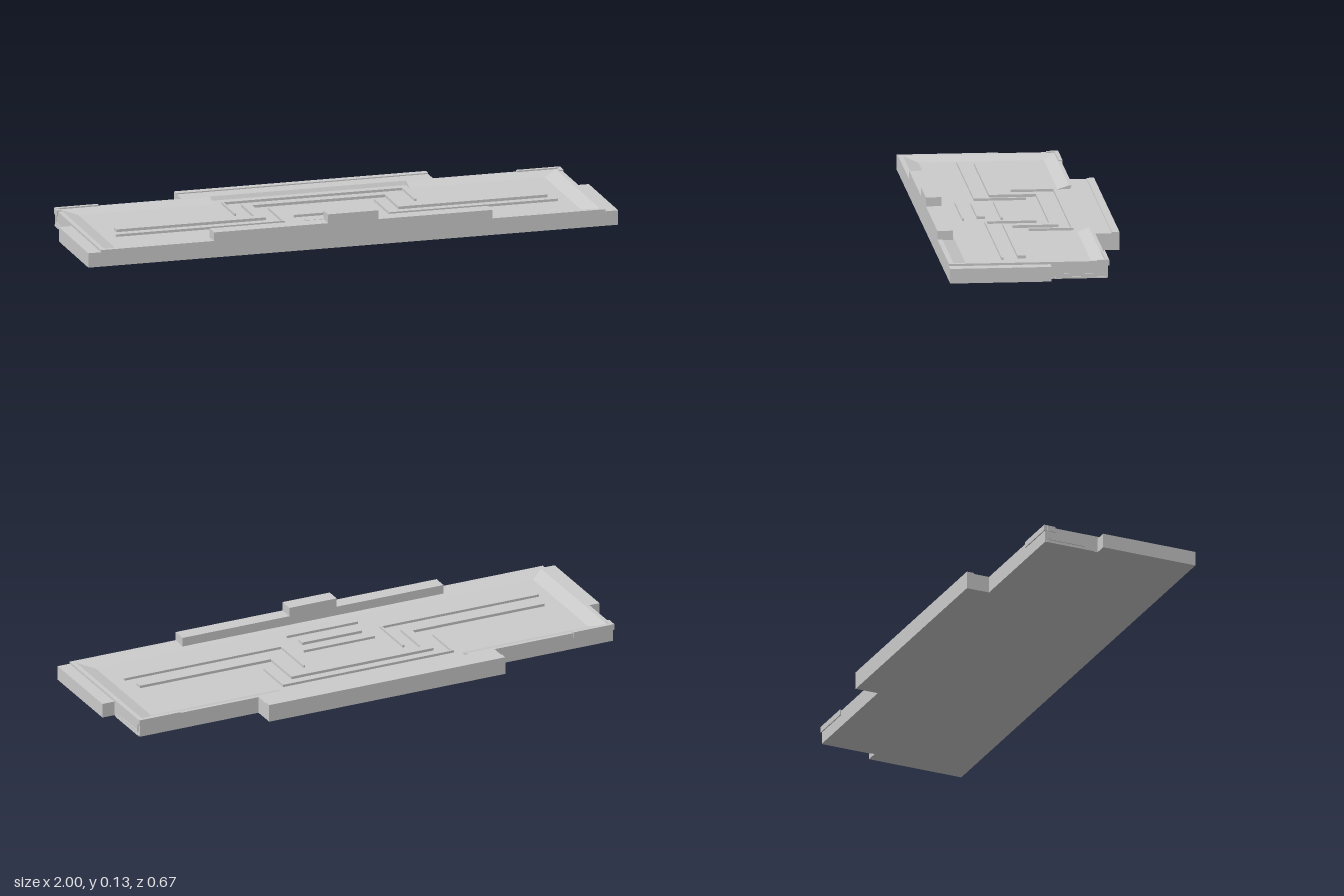
import * as THREE from 'three';

const material = new THREE.MeshStandardMaterial({ color: 0xcccccc, flatShading: true });
const FLOOR = 0.048, TOP = 0.062;

export function createModel() {
  const model = new THREE.Group();
  const add = (name, geometry) => {
    const mesh = new THREE.Mesh(geometry, material);
    mesh.name = name;
    model.add(mesh);
    return mesh;
  };
  // Box given by its limits on each axis
  const box = (name, x0, x1, y0, y1, z0, z1) => {
    const mesh = add(name, new THREE.BoxGeometry(x1 - x0, y1 - y0, z1 - z0));
    mesh.position.set((x0 + x1) / 2, (y0 + y1) / 2, (z0 + z1) / 2);
    return mesh;
  };
  // Plan outline of [x, z] points raised from y0 to y1
  const plate = (name, points, y0, y1) => {
    const shape = new THREE.Shape(points.map(([x, z]) => new THREE.Vector2(x, -z)));
    const geometry = new THREE.ExtrudeGeometry(shape, { depth: y1 - y0, bevelEnabled: false });
    geometry.rotateX(-Math.PI / 2).translate(0, y0, 0);
    return add(name, geometry);
  };
  // Thin raised line along axis-aligned [x, z] points
  const ridge = (name, points, w = 0.007, h = 0.009) => {
    for (let i = 1; i < points.length; i++) {
      const [a, b] = points[i - 1], [c, d] = points[i];
      box(name, Math.min(a, c) - w / 2, Math.max(a, c) + w / 2, FLOOR - 0.002, FLOOR + h,
        Math.min(b, d) - w / 2, Math.max(b, d) + w / 2);
    }
  };

  // Slab under the recessed floor
  box('slab', -0.952, 0.952, 0, FLOOR, -0.245, 0.333);

  // Mitred rim, sloping from its crest down to the floor
  const loop = (f, y) => f.map(([x, z]) => [x, y, z]);
  const mirror = (half) => [...half, ...half.slice().reverse().map(([x, z]) => [-x, z])];
  const outer = mirror([[0.952, 0.333], [0.952, -0.245], [0.37, -0.245], [0.37, -0.245]]);
  const crest = mirror([[0.935, 0.315], [0.935, -0.232], [0.37, -0.232], [0.37, -0.243]]);
  const inner = mirror([[0.88, 0.265], [0.88, -0.19], [0.37, -0.19], [0.37, -0.235]]);
  const loops = [loop(outer, FLOOR), loop(outer, TOP), loop(crest, TOP), loop(inner, FLOOR)];
  const positions = loops.flat(2), index = [], n = outer.length;
  for (let l = 0; l < 3; l++) {
    for (let i = 0; i < n; i++) {
      const j = (i + 1) % n, a = l * n + i, b = l * n + j;
      index.push(a, b, b + n, a, b + n, a + n);
    }
  }
  const rim = new THREE.BufferGeometry();
  rim.setAttribute('position', new THREE.Float32BufferAttribute(positions, 3));
  rim.setIndex(index);
  rim.computeVertexNormals();
  add('rim', rim);

  // Rear extension with a slim lip
  box('rearBlock', -0.475, 0.475, 0, TOP, -0.333, -0.244);
  box('rearLip', -0.475, 0.475, TOP, 0.066, -0.333, -0.305);

  // Stepped front ledge
  box('frontLedge', -0.525, 0.525, 0.06, 0.094, 0.276, 0.333);
  box('frontCap', -0.095, 0.095, 0.094, 0.127, 0.276, 0.333);

  // Wide stepped band across the floor
  plate('steppedBand', [
    [-0.815, 0.07], [-0.25, 0.07], [-0.25, -0.1], [0.25, -0.1], [0.25, 0.07], [0.812, 0.07],
    [0.812, 0.04], [0.285, 0.04], [0.285, -0.13], [-0.285, -0.13], [-0.285, 0.04], [-0.815, 0.04],
  ], FLOOR - 0.002, FLOOR + 0.01);

  // Fine lines on either side of the band
  ridge('outerLine', [[-0.34, -0.02], [-0.34, -0.175], [0.34, -0.175], [0.34, -0.02]]);
  for (const s of [-1, 1]) ridge('innerLine', [[s * 0.83, 0.127], [s * 0.2, 0.127], [s * 0.2, -0.055]]);

  // Bars in the centre
  ridge('centreBar', [[-0.14, 0.062], [0.14, 0.062]]);
  ridge('centreBar', [[-0.14, 0.202], [0.14, 0.202]]);
  box('centrePad', -0.12, 0.12, FLOOR - 0.002, FLOOR + 0.01, 0.12, 0.15);

  for (const s of [-1, 1]) {
    const side = (name, x0, x1, ...rest) =>
      box(name, Math.min(s * x0, s * x1), Math.max(s * x0, s * x1), ...rest);
    // Long end blocks
    side('endBlock', 0.951, 1, 0, 0.054, -0.035, 0.333);
    // Raised strips at the rear corners
    side('cornerStrip', 0.79, 0.955, 0.045, 0.067, -0.249, -0.235);
    side('cornerStrip', 0.94, 0.956, 0.045, 0.066, -0.235, -0.205);
    // Stepped relief on the end face
    side('endRelief', 0.95, 0.955, 0, 0.006, -0.24, -0.05);
    side('endRelief', 0.95, 0.955, 0.012, 0.018, -0.225, -0.085);
    side('endRelief', 0.95, 0.955, 0.018, 0.046, -0.231, -0.225);
  }
  return model;
}
